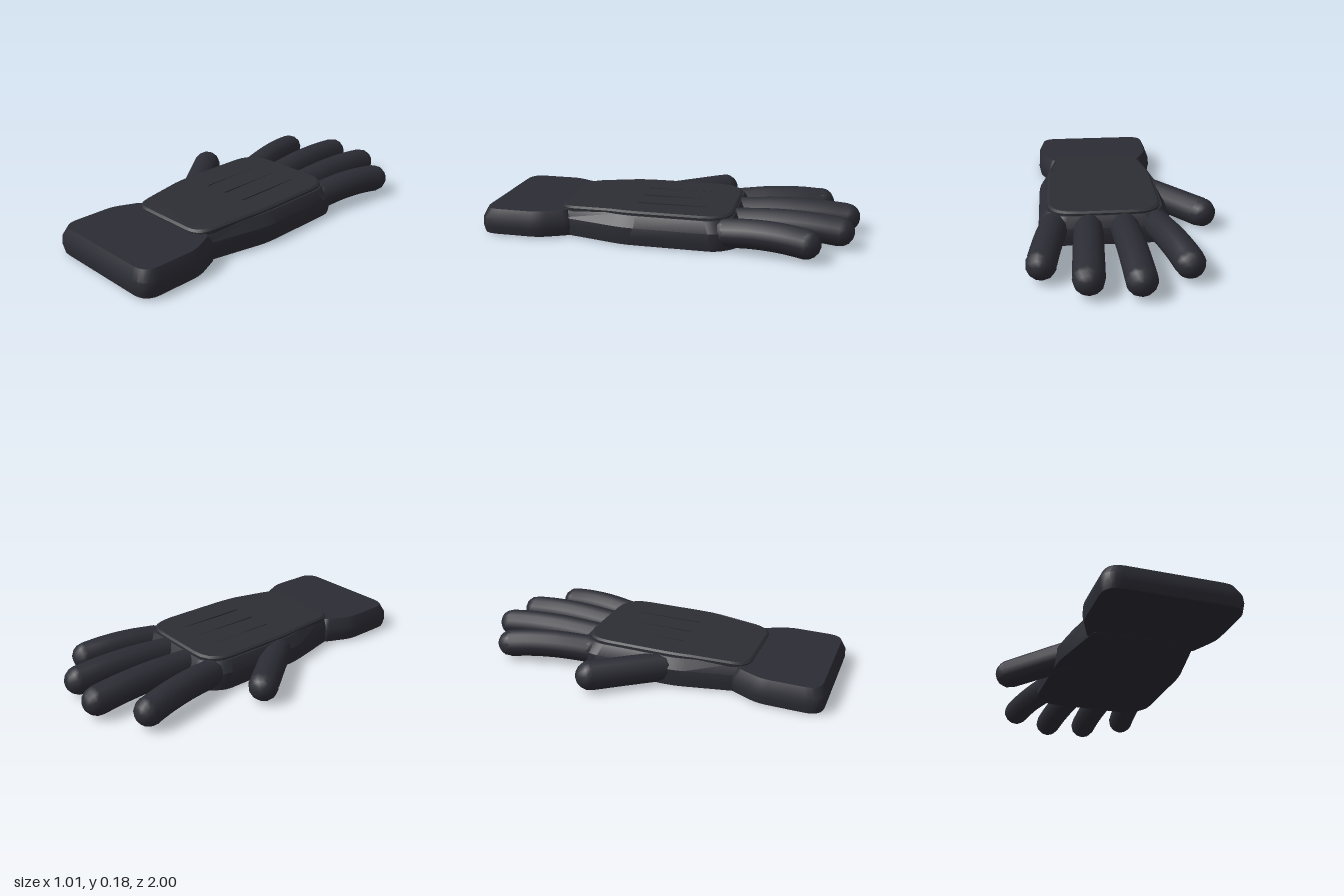
import * as THREE from 'three';
import { toCreasedNormals } from 'three/addons/utils/BufferGeometryUtils.js';

const fabric = new THREE.MeshStandardMaterial({ color: 0x2c2c35 });
fabric.name = 'dark fabric';
const panelMat = new THREE.MeshStandardMaterial({ color: 0x2d2e34 });
panelMat.name = 'back panel fabric';

// Rounded outline from corners [x, z, radius], as points (x, -z), counter-clockwise
function outline(corners) {
  const n = corners.length, pts = [];
  corners.forEach(([x, z, r], i) => {
    const c = new THREE.Vector2(x, -z);
    const toward = ([px, pz]) => new THREE.Vector2(px, -pz).sub(c).setLength(r).add(c);
    const a = toward(corners[(i + n - 1) % n]), b = toward(corners[(i + 1) % n]);
    pts.push(...new THREE.QuadraticBezierCurve(a, c, b).getPoints(5));
  });
  return pts;
}

// Closed slab lofted through layers [y, inset]; dip(z) lowers the top layers
function slab(corners, layers, dip = () => 0) {
  const pts = outline(corners), n = pts.length;
  const box = new THREE.Box2().setFromPoints(pts);
  const mid = box.getCenter(new THREE.Vector2()), size = box.getSize(new THREE.Vector2());
  const pos = [], idx = [];
  layers.forEach(([y, inset], k) => {
    const sx = 1 - 2 * inset / size.x, sz = 1 - 2 * inset / size.y;
    for (const p of pts) {
      const z = -(mid.y + (p.y - mid.y) * sz);
      pos.push(mid.x + (p.x - mid.x) * sx, y - (k > 0 ? dip(z) : 0), z);
    }
  });
  for (let k = 0; k < layers.length - 1; k++) {
    for (let i = 0; i < n; i++) {
      const a = k * n + i, b = k * n + (i + 1) % n;
      idx.push(a, b, b + n, a, b + n, a + n);
    }
  }
  const top = (layers.length - 1) * n;
  for (const [a, b, c] of THREE.ShapeUtils.triangulateShape(pts, [])) {
    idx.push(a, c, b, top + a, top + b, top + c);
  }
  const g = new THREE.BufferGeometry();
  g.setAttribute('position', new THREE.Float32BufferAttribute(pos, 3));
  g.setIndex(idx);
  return toCreasedNormals(g, 0.5);
}

// Bent round finger with domed ends
function finger(name, points, r) {
  const group = new THREE.Group();
  group.name = name;
  const curve = new THREE.CatmullRomCurve3(points.map(p => new THREE.Vector3(...p)));
  const tube = new THREE.Mesh(new THREE.TubeGeometry(curve, 10, r, 12), fabric);
  tube.name = name + 'Sleeve';
  group.add(tube);
  for (const t of [0, 1]) {
    const dome = new THREE.Mesh(new THREE.SphereGeometry(r, 12, 8), fabric);
    dome.name = name + (t ? 'Tip' : 'Root');
    dome.position.copy(curve.getPoint(t));
    dome.quaternion.setFromUnitVectors(new THREE.Vector3(0, 1, 0), curve.getTangent(t));
    group.add(dome);
  }
  return group;
}

export function createModel() {
  const model = new THREE.Group();
  model.name = 'glove';
  const add = (name, geometry, material) => {
    const m = new THREE.Mesh(geometry, material);
    m.name = name;
    model.add(m);
    return m;
  };

  // Flared wrist cuff
  add('cuff', slab([
    [-0.255, 1, 0.09], [0.455, 1, 0.09], [0.455, 0.66, 0.05], [0.385, 0.5, 0.03],
    [-0.185, 0.5, 0.03], [-0.255, 0.66, 0.05],
  ], [[0.008, 0.008], [0.05, 0], [0.09, 0.003], [0.142, 0.028]]), fabric);

  // Palm body, tapering into the cuff
  add('palm', slab([
    [-0.165, 0.58, 0.02], [0.365, 0.58, 0.02], [0.45, 0.2, 0.06], [0.45, -0.3, 0.05],
    [0.37, -0.4, 0.05], [-0.17, -0.4, 0.05], [-0.25, -0.3, 0.05], [-0.25, 0.2, 0.06],
  ], [[0.007, 0.005], [0.05, 0], [0.1, 0.004], [0.155, 0.04]]), fabric);

  // Raised panel on the back of the hand, sloping down to the cuff
  add('backPanel', slab([
    [-0.145, 0.58, 0.09], [0.345, 0.58, 0.09], [0.4, 0.2, 0.08],
    [0.4, -0.355, 0.15], [-0.2, -0.355, 0.15], [-0.2, 0.2, 0.08],
  ], [[0.1, 0], [0.165, 0], [0.174, 0.012]], z => Math.max(0, z - 0.3) * 0.06), panelMat);

  // Three thin seams across the knuckle panel
  for (const x of [-0.03, 0.1, 0.235]) {
    add('seam', new THREE.BoxGeometry(0.012, 0.006, 0.38), panelMat).position.set(x, 0.172, -0.02);
  }

  // Fingers: root and tip centres [x, z], radius
  for (const [name, x0, z0, x1, z1, r] of [
    ['indexFinger', -0.165, -0.33, -0.267, -0.78, 0.076],
    ['middleFinger', 0.003, -0.36, -0.022, -0.923, 0.077],
    ['ringFinger', 0.19, -0.36, 0.215, -0.894, 0.077],
    ['littleFinger', 0.365, -0.32, 0.43, -0.735, 0.076],
  ]) {
    const at = (t, y) => [x0 + (x1 - x0) * t, y, z0 + (z1 - z0) * t];
    model.add(finger(name, [at(0, 0.086), at(0.4, 0.099), at(0.75, 0.096), at(1, 0.084)], r));
  }

  // Thumb
  model.add(finger('thumb', [[-0.165, 0.079, 0.15], [-0.3, 0.08, -0.026], [-0.431, 0.08, -0.195]], 0.079));
  return model;
}
